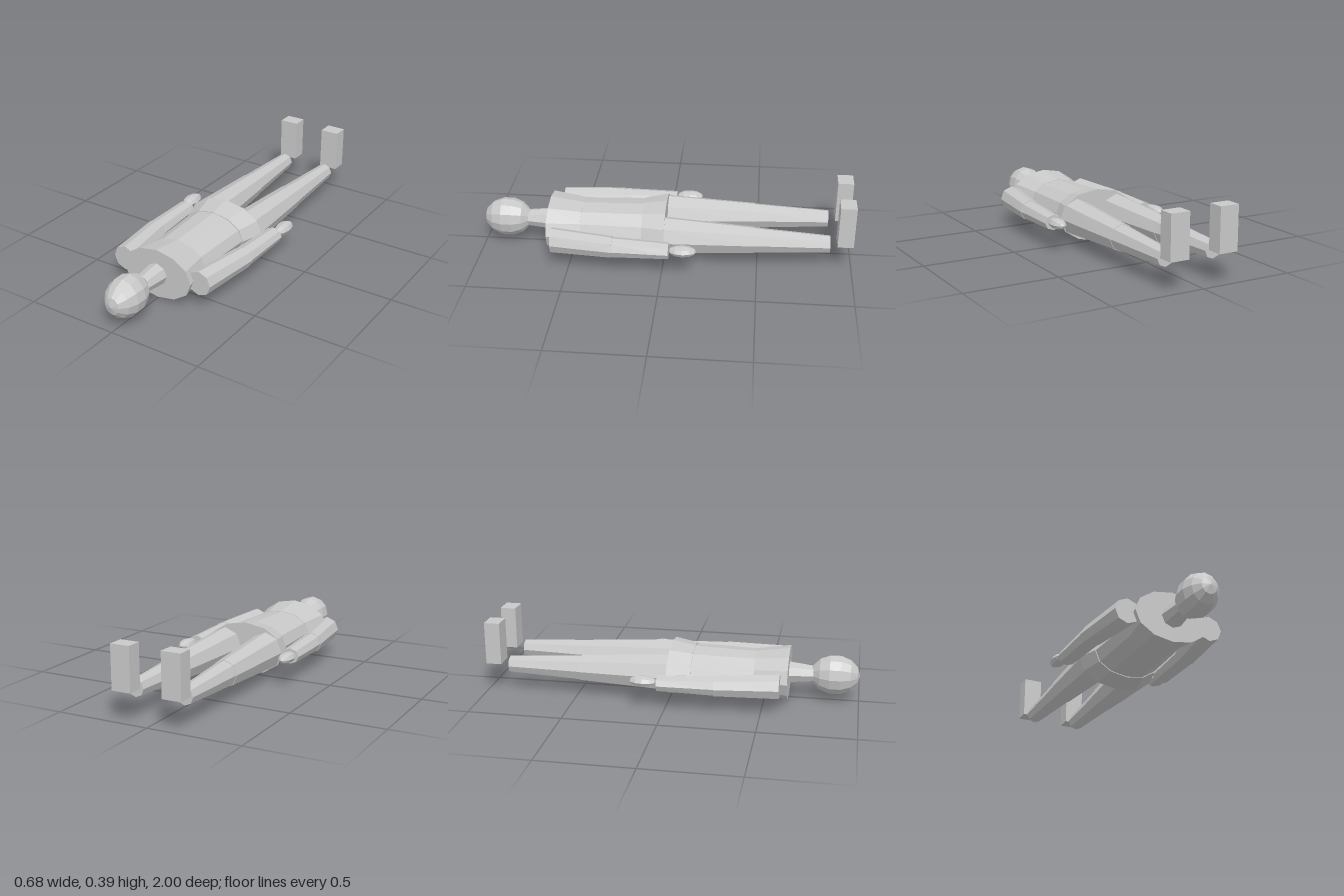
import * as THREE from 'three';

const AXIS_Y = 0.143; // height of the body's long axis

export function createModel() {
  const model = new THREE.Group();
  model.name = 'lyingFigure';
  const grey = new THREE.MeshStandardMaterial({ color: 0xc8c8c8, flatShading: true });
  grey.name = 'lightGrey';

  const add = (name, geometry) => {
    const mesh = new THREE.Mesh(geometry, grey);
    mesh.name = name;
    model.add(mesh);
    return mesh;
  };

  // Tapered elliptical segment lying along z; each end is [x, z, halfWidth, halfHeight]
  const segment = (name, head, foot, sides) => {
    const geometry = new THREE.CylinderGeometry(1, 1, 1, sides);
    geometry.rotateX(Math.PI / 2); // cylinder top now faces +z
    const p = geometry.attributes.position;
    for (let i = 0; i < p.count; i++) {
      const [x, z, rx, ry] = p.getZ(i) > 0 ? head : foot;
      p.setXYZ(i, x + p.getX(i) * rx, AXIS_Y + p.getY(i) * ry, z);
    }
    geometry.computeVertexNormals();
    add(name, geometry);
  };

  // Faceted ellipsoid with its poles along z
  const ellipsoid = (name, [x, y, z], [rx, ry, rz], sides, rings) => {
    const geometry = new THREE.SphereGeometry(1, sides, rings);
    geometry.rotateX(Math.PI / 2);
    geometry.scale(rx, ry, rz);
    add(name, geometry).position.set(x, y, z);
  };

  // Head and neck
  ellipsoid('head', [0, AXIS_Y, 0.87], [0.097, 0.108, 0.13], 12, 7);
  segment('neck', [0, 0.76, 0.047, 0.044], [0, 0.62, 0.062, 0.06], 8);

  // Torso
  segment('chest', [0, 0.628, 0.205, 0.136], [0, 0.45, 0.17, 0.11], 12);
  segment('abdomen', [0, 0.45, 0.168, 0.108], [0, 0.118, 0.182, 0.117], 12);
  segment('pelvis', [0, 0.118, 0.187, 0.121], [0, -0.005, 0.226, 0.142], 12);

  // Limbs, with a small step at each elbow and knee
  for (const [side, s] of [['left', 1], ['right', -1]]) {
    segment(side + 'UpperArm', [s * 0.228, 0.592, 0.068, 0.068], [s * 0.272, 0.26, 0.06, 0.057], 8);
    segment(side + 'Forearm', [s * 0.272, 0.26, 0.057, 0.054], [s * 0.283, -0.038, 0.05, 0.042], 8);
    ellipsoid(side + 'Hand', [s * 0.3, 0.155, -0.111], [0.04, 0.029, 0.073], 8, 6);

    segment(side + 'Thigh', [s * 0.122, 0.005, 0.096, 0.103], [s * 0.13, -0.48, 0.07, 0.073], 8);
    segment(side + 'Shin', [s * 0.13, -0.48, 0.067, 0.07], [s * 0.136, -0.88, 0.046, 0.046], 8);

    // Upright foot, set slightly apart from the shin
    add(side + 'Foot', new THREE.BoxGeometry(0.104, 0.23, 0.084))
      .position.set(s * 0.138, 0.271, -0.958);
  }
  return model;
}
